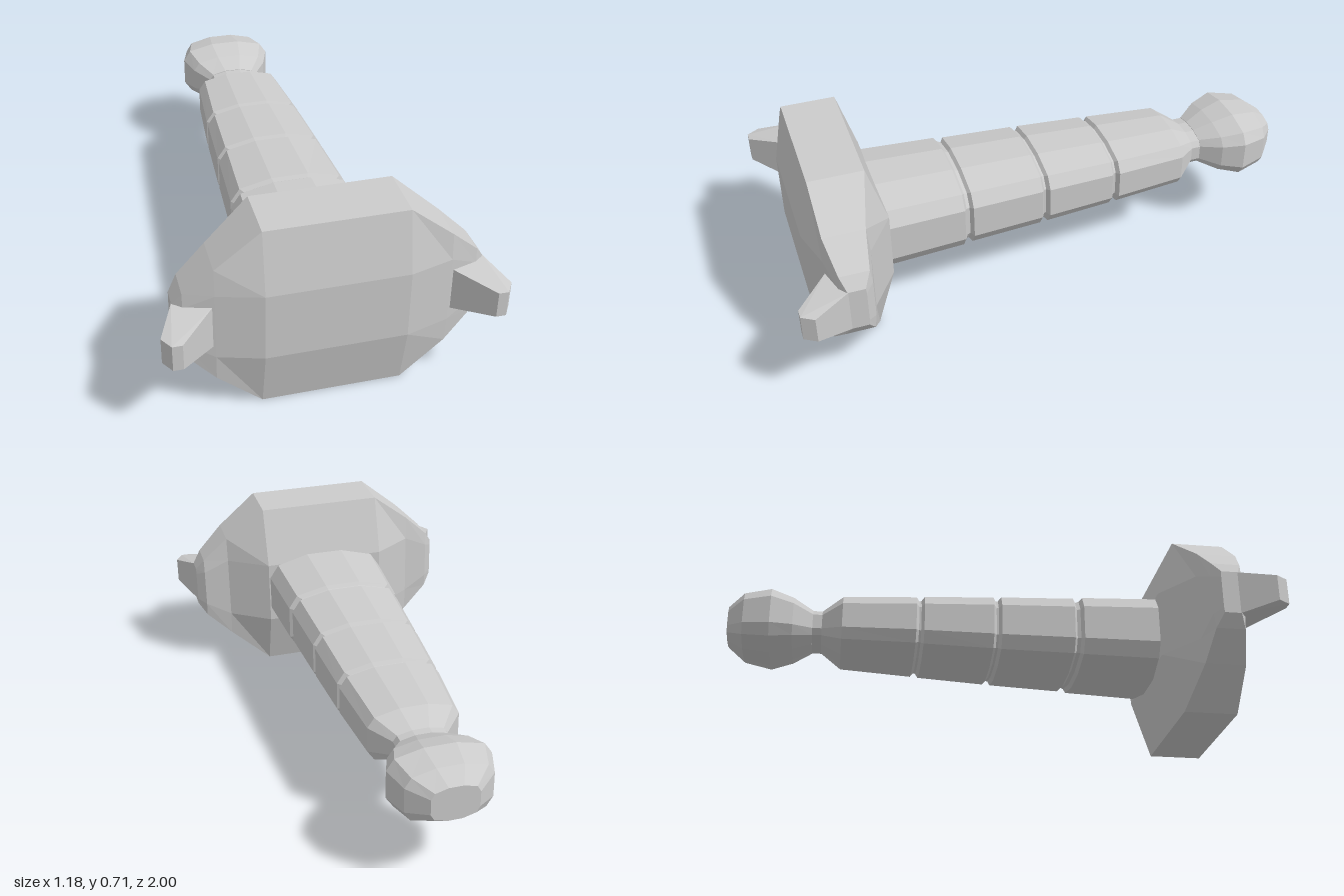
import * as THREE from 'three';
import { ConvexGeometry } from 'three/addons/geometries/ConvexGeometry.js';

const CY = 0.353; // height of the long axis

// Skin between equal-length rings of [x, y, z], closed with flat caps.
function loft(rings) {
  const n = rings[0].length;
  const index = [];
  for (let r = 0; r < rings.length - 1; r++) {
    for (let i = 0; i < n; i++) {
      const j = (i + 1) % n;
      const a = r * n, b = a + n;
      index.push(a + i, b + i, a + j, a + j, b + i, b + j);
    }
  }
  const last = (rings.length - 1) * n;
  for (let i = 1; i < n - 1; i++) {
    index.push(0, i, i + 1, last, last + i + 1, last + i);
  }
  const geometry = new THREE.BufferGeometry();
  geometry.setAttribute('position', new THREE.Float32BufferAttribute(rings.flat(2), 3));
  geometry.setIndex(index);
  const flat = geometry.toNonIndexed();
  flat.computeVertexNormals();
  return flat;
}

// Bevelled twelve-sided section, counter-clockwise seen from +z.
const QUARTER = [[1, 0.45], [0.85, 0.8], [0.31, 1]];
const SECTION = [
  ...QUARTER,
  ...QUARTER.map(([x, y]) => [-x, y]).reverse(),
  ...QUARTER.map(([x, y]) => [-x, -y]),
  ...QUARTER.map(([x, y]) => [x, -y]).reverse(),
];

// Stations are [z, half width, half height], front to back.
const barLoft = (stations) =>
  loft(stations.map(([z, w, h]) => SECTION.map(([x, y]) => [x * w, CY + y * h, z])));

export function createModel() {
  const group = new THREE.Group();
  const material = new THREE.MeshStandardMaterial({ color: 0xcccccc, flatShading: true });
  const add = (name, geometry) => {
    const mesh = new THREE.Mesh(geometry, material);
    mesh.name = name;
    group.add(mesh);
  };

  // Tapered grip: four segments with narrow grooves between them
  const segments = [
    [[0.66, 0.242, 0.157], [0.33, 0.226, 0.147]],
    [[0.295, 0.221, 0.143], [0.02, 0.207, 0.135]],
    [[-0.01, 0.206, 0.133], [-0.27, 0.192, 0.121]],
    [[-0.3, 0.191, 0.118], [-0.575, 0.168, 0.108]],
  ];
  const grip = [];
  segments.forEach(([start, end], i) => {
    if (i > 0) grip.push([start[0] + 0.011, start[1] - 0.018, start[2] - 0.012]);
    grip.push(start, end);
    if (i < 3) grip.push([end[0] - 0.011, end[1] - 0.018, end[2] - 0.012]);
  });
  grip.push([-0.65, 0.1, 0.062]);
  add('grip', barLoft(grip));

  // Thin neck and rounded pommel
  add('neck', barLoft([[-0.64, 0.1, 0.062], [-0.7, 0.1, 0.062]]));
  add('pommel', barLoft([
    [-0.685, 0.1, 0.064], [-0.757, 0.155, 0.096], [-0.84, 0.185, 0.12],
    [-0.94, 0.155, 0.105], [-1, 0.085, 0.065],
  ]));

  // Faceted plate, lofted across x:
  // [x, half height, mid half height, rim back, rim front, mid back, mid front]
  const half = [
    [0.532, 0.082, 0.06, 0.77, 0.832, 0.768, 0.834],
    [0.5, 0.13, 0.075, 0.745, 0.852, 0.738, 0.856],
    [0.4, 0.225, 0.127, 0.727, 0.878, 0.718, 0.886],
    [0.245, 0.353, 0.128, 0.685, 0.885, 0.615, 0.93],
  ];
  const columns = [...half, ...half.map(([x, ...rest]) => [-x, ...rest]).reverse()];
  add('plate', loft(columns.map(([x, h, m, rb, rf, mb, mf]) => [
    [x, CY - m, mb], [x, CY + m, mb], [x, CY + h, rb], [x, CY + h, rf],
    [x, CY + m, mf], [x, CY - m, mf], [x, CY - h, rf], [x, CY - h, rb],
  ])));

  // Splayed prong on each side: [x, z, half height]
  const prong = [
    [0.405, 0.88, 0.082], [0.45, 0.82, 0.082], [0.532, 0.83, 0.082],
    [0.525, 1, 0.049], [0.56, 1, 0.049], [0.588, 0.955, 0.049],
  ];
  for (const [side, name] of [[1, 'leftProng'], [-1, 'rightProng']]) {
    add(name, new ConvexGeometry(prong.flatMap(([x, z, h]) =>
      [h, -h].map((y) => new THREE.Vector3(side * x, CY + y, z)))));
  }
  return group;
}
